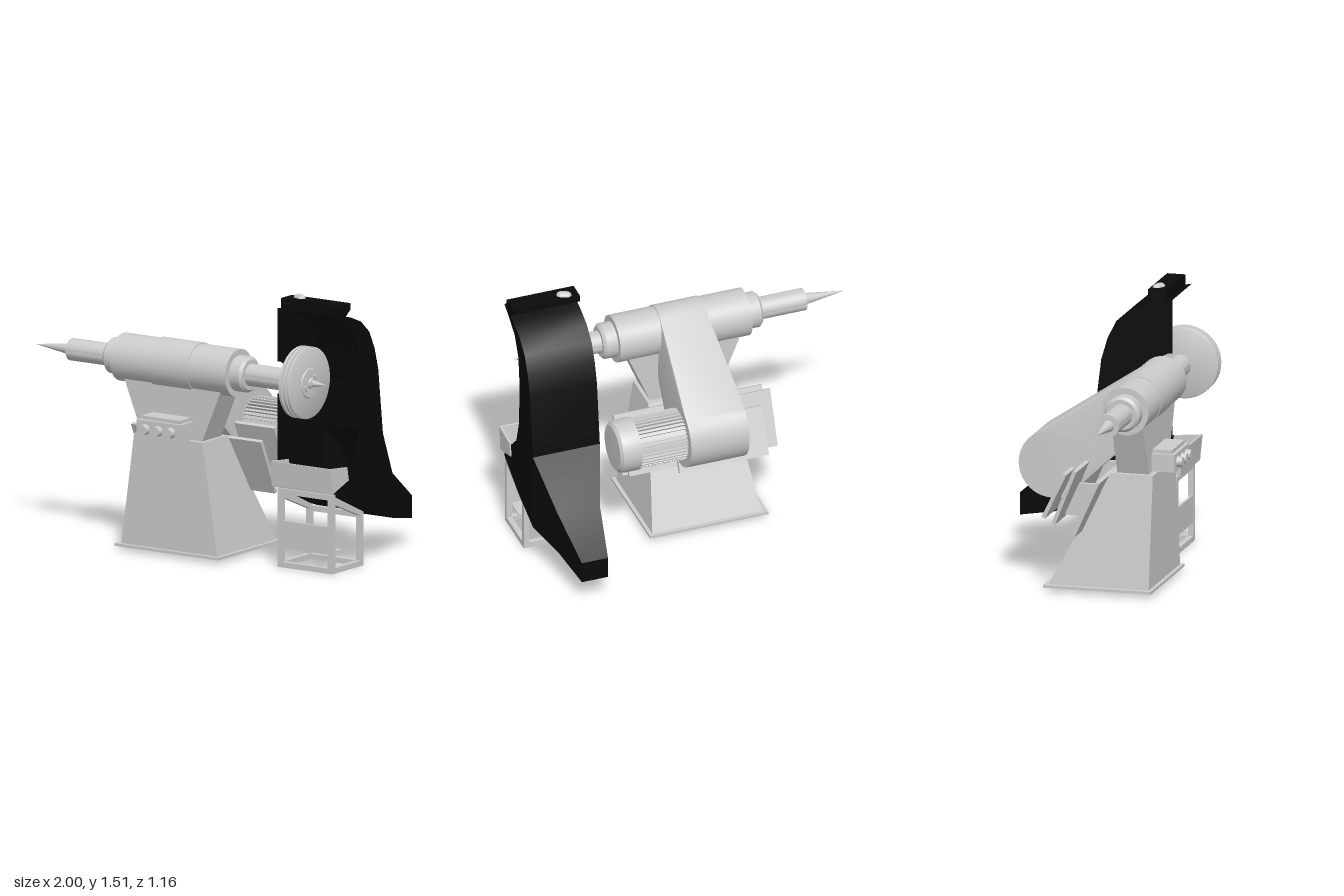
import * as THREE from 'three';
import { toCreasedNormals } from 'three/addons/utils/BufferGeometryUtils.js';
import { ConvexGeometry } from 'three/addons/geometries/ConvexGeometry.js';

const grey = new THREE.MeshStandardMaterial({ color: 0xcccccc });
const greySheet = new THREE.MeshStandardMaterial({ color: 0xcccccc, side: THREE.DoubleSide });
const black = new THREE.MeshStandardMaterial({ color: 0x0a0a0a, side: THREE.DoubleSide });

export function createModel() {
  const root = new THREE.Group();
  const AXIS_Y = 1.05, AXIS_Z = 0.335;

  const add = (name, geo, mat = grey, parent = root) => {
    const mesh = new THREE.Mesh(geo, mat);
    mesh.name = name;
    parent.add(mesh);
    return mesh;
  };
  const group = (name) => {
    const g = new THREE.Group();
    g.name = name;
    root.add(g);
    return g;
  };
  // box given by its limits
  const box = (name, x0, x1, y0, y1, z0, z1, mat = grey, parent = root) => {
    const m = add(name, new THREE.BoxGeometry(x1 - x0, y1 - y0, z1 - z0), mat, parent);
    m.position.set((x0 + x1) / 2, (y0 + y1) / 2, (z0 + z1) / 2);
    return m;
  };
  // turned part along x, profile of [radius, x]
  const turned = (name, profile, y, z, parent = root, seg = 40) => {
    const g = new THREE.LatheGeometry(profile.map(p => new THREE.Vector2(...p)), seg).rotateZ(-Math.PI / 2);
    const m = add(name, toCreasedNormals(g, 0.5), grey, parent);
    m.position.set(0, y, z);
    return m;
  };
  // tapered block between two rectangles [x0, x1, z0, z1]
  const frustum = (name, y0, a, y1, b) => {
    const pts = [];
    for (const [y, r] of [[y0, a], [y1, b]])
      for (const x of [r[0], r[1]]) for (const z of [r[2], r[3]]) pts.push(new THREE.Vector3(x, y, z));
    return add(name, new ConvexGeometry(pts));
  };
  // side outline of [z, y] points
  const sideShape = (pts) => new THREE.Shape(pts.map(([z, y]) => new THREE.Vector2(-z, y)));
  const sideExtrude = (name, pts, x0, x1, mat, parent) => {
    const g = new THREE.ExtrudeGeometry(sideShape(pts), { depth: x1 - x0, bevelEnabled: false });
    return add(name, g.rotateY(Math.PI / 2).translate(x0, 0, 0), mat, parent);
  };

  // Pedestal
  box('basePlate', -0.38, 0.31, 0.02, 0.035, -0.14, 0.47);
  frustum('pedestal', 0.03, [-0.35, 0.29, -0.12, 0.45], 0.66, [-0.265, 0.19, 0.21, 0.45]);
  frustum('neck', 0.66, [-0.235, 0.17, 0.24, 0.42], 0.96, [-0.355, 0.295, 0.24, 0.42]);

  // Spindle housing, shafts and tapered ends
  turned('spindleHousing', [[0, -0.495], [0.085, -0.495], [0.1, -0.48], [0.1, -0.415], [0.133, -0.415],
    [0.133, 0.355], [0.1, 0.355], [0.1, 0.42], [0.085, 0.435], [0, 0.435]], AXIS_Y, AXIS_Z);
  turned('spindleShaft', [[0, -1], [0.033, -0.76], [0.062, -0.76], [0.062, 0.695], [0.035, 0.695],
    [0.022, 0.76], [0.022, 0.84], [0, 0.94]], AXIS_Y, AXIS_Z);

  // Grooved polishing wheel
  const wheel = group('polishingWheel');
  turned('wheelDiscs', [[0, 0.752], [0.19, 0.752], [0.2, 0.757], [0.2, 0.772], [0.185, 0.775], [0.185, 0.781],
    [0.2, 0.784], [0.2, 0.799], [0.185, 0.802], [0.185, 0.808], [0.2, 0.811], [0.2, 0.822], [0.19, 0.827],
    [0, 0.827]], AXIS_Y, AXIS_Z, wheel, 48);
  turned('wheelFlange', [[0.085, 0.826], [0.08, 0.832], [0.03, 0.834], [0.027, 0.85], [0, 0.85]], AXIS_Y, AXIS_Z, wheel);
  for (let i = 0; i < 6; i++) {
    const a = i * Math.PI / 3;
    const lug = add('flangeLug', new THREE.BoxGeometry(0.006, 0.014, 0.03), grey, wheel);
    lug.position.set(0.835, AXIS_Y + 0.05 * Math.cos(a), AXIS_Z + 0.05 * Math.sin(a));
    lug.rotation.x = a;
  }

  // Belt cover wrapping spindle and motor pulley
  const MOTOR_Y = 0.675, MOTOR_Z = -0.14, hull = [];
  for (let i = 0; i < 40; i++) {
    const a = i / 40 * Math.PI * 2, c = Math.cos(a), s = Math.sin(a);
    for (const side of [-1, 1]) {
      hull.push(new THREE.Vector3(-0.03 + side * 0.17, MOTOR_Y + 0.19 * s, MOTOR_Z + 0.19 * c));
      hull.push(new THREE.Vector3(-0.03 + side * 0.132, AXIS_Y + 0.14 * s, AXIS_Z + 0.135 * c));
    }
  }
  add('beltCover', toCreasedNormals(new ConvexGeometry(hull), 0.5));

  // Finned motor
  const motor = group('motor');
  turned('motorBody', [[0, 0.1], [0.128, 0.1], [0.128, 0.42], [0, 0.42]], MOTOR_Y, MOTOR_Z, motor);
  turned('motorEndCap', [[0, 0.41], [0.148, 0.41], [0.148, 0.495], [0.142, 0.515], [0.125, 0.53], [0, 0.533]],
    MOTOR_Y, MOTOR_Z, motor);
  for (let i = 0; i < 40; i++) {
    const a = i / 40 * Math.PI * 2;
    const fin = add('coolingFin', new THREE.BoxGeometry(0.28, 0.022, 0.008), grey, motor);
    fin.position.set(0.275, MOTOR_Y + 0.134 * Math.cos(a), MOTOR_Z + 0.134 * Math.sin(a));
    fin.rotation.x = a;
  }

  // Sloping motor mounting plates
  const mount = group('motorMount');
  const plate = (name, x0, x1, zt, yt, zb, yb, t) =>
    sideExtrude(name, [[zt, yt], [zt - t, yt + t * 0.45], [zb - t, yb + t * 0.45], [zb, yb]], x0, x1, grey, mount);
  plate('rearPlate', -0.46, 0.405, 0.07, 0.7, -0.05, 0.4, 0.02);
  plate('pedestalPlate', -0.46, 0.405, 0.2, 0.645, 0.06, 0.335, 0.02);
  plate('motorFootPlate', -0.38, 0.14, -0.01, 0.66, -0.13, 0.41, 0.02);
  for (const x of [-0.3, 0.24])
    sideExtrude('mountRib', [[0.17, 0.6], [0.04, 0.6], [-0.04, 0.42], [0.09, 0.42]], x, x + 0.03, grey, mount);

  // Control box
  const control = group('controlBox');
  box('controlHousing', -0.18, 0.115, 0.665, 0.765, 0.4, 0.55, grey, control);
  box('controlLid', -0.16, 0.095, 0.765, 0.785, 0.41, 0.53, grey, control);
  for (const x of [-0.12, -0.035, 0.05]) {
    const b = add('button', new THREE.CylinderGeometry(0.027, 0.03, 0.032, 20).rotateX(Math.PI / 2), grey, control);
    b.position.set(x, 0.715, 0.565);
  }

  // Extraction hood: sheet skin following the side profile, narrowing to the rear
  const hood = group('extractionHood');
  const X0 = 0.6, X1 = 0.99;
  const inset = (z) => z > -0.13 ? 0 : z > -0.33 ? (-0.13 - z) * 0.37 : 0.074 + (-0.33 - z) * 0.18;
  const back = [[0.32, 1.44], [0.27, 1.43], [0.18, 1.41], [0.08, 1.37], [0, 1.3], [-0.05, 1.2], [-0.085, 1.08],
    [-0.13, 0.71]];
  const tailTop = [[-0.13, 0.71], [-0.325, 0.445], [-0.58, 0.27]];
  const tailBottom = [[-0.13, 0.25], [-0.325, 0.195], [-0.58, 0.145]];
  const floor = [[0.32, 0.44], [0.1, 0.33], [-0.13, 0.25]];
  const tris = [];
  const quad = (a, b, c, d) => tris.push(...a, ...b, ...c, ...a, ...c, ...d);
  const lo = ([z, y]) => [X0 + inset(z), y, z], hi = ([z, y]) => [X1 - inset(z), y, z];
  for (const line of [back, tailTop, floor, tailBottom])
    for (let i = 0; i + 1 < line.length; i++)
      quad(lo(line[i]), hi(line[i]), hi(line[i + 1]), lo(line[i + 1]));
  for (let i = 0; i < 2; i++)
    for (const f of [lo, hi]) quad(f(tailTop[i]), f(tailTop[i + 1]), f(tailBottom[i + 1]), f(tailBottom[i]));
  quad(lo(tailTop[2]), hi(tailTop[2]), hi(tailBottom[2]), lo(tailBottom[2]));
  const skin = new THREE.BufferGeometry();
  skin.setAttribute('position', new THREE.Float32BufferAttribute(tris, 3));
  skin.computeVertexNormals();
  add('hoodSkin', toCreasedNormals(skin, 0.5), black, hood);

  // Hood sides: a shaft notch on one, a wide opening on the other
  const notch = [];
  for (let i = 0; i <= 10; i++) {
    const a = i / 10 * Math.PI;
    notch.push([0.32 - 0.09 * Math.sin(a), AXIS_Y - 0.09 * Math.cos(a)]);
  }
  const opening = [[0.32, 0.58], [0.21, 0.58], [0.13, 0.66], [0.09, 0.8], [0.08, 1.05], [0.1, 1.23], [0.16, 1.34],
    [0.25, 1.4]];
  const rim = [...back, ...[...floor].reverse()];
  for (const [name, x, cut] of [['hoodInnerSide', X0, notch], ['hoodOuterSide', X1, opening]])
    add(name, new THREE.ShapeGeometry(sideShape([...rim, ...cut])).rotateY(Math.PI / 2).translate(x, 0, 0), black, hood);

  // Hood top cap and lamp
  sideExtrude('hoodCap', [[0.285, 1.43], [0.285, 1.49], [0.18, 1.49], [0.18, 1.455], [0.24, 1.41]], X0, X1, black, hood);
  const lamp = add('lamp', new THREE.CapsuleGeometry(0.025, 0.035, 6, 14).rotateZ(Math.PI / 2), grey, hood);
  lamp.position.set(0.68, 1.485, 0.22);
  lamp.rotation.y = -0.4;

  // Collecting tray at the hood mouth
  const tray = group('hoodTray');
  const traySide = [[0.38, 0.595], [0.22, 0.58], [0.205, 0.505], [0.365, 0.45]];
  for (const x of [0.595, 0.985]) sideExtrude('traySide', traySide, x, x + 0.012, grey, tray);
  sideExtrude('trayFront', [[0.38, 0.595], [0.368, 0.594], [0.353, 0.454], [0.365, 0.45]], 0.595, 0.997, grey, tray);
  sideExtrude('trayFloor', [[0.365, 0.45], [0.367, 0.46], [0.207, 0.515], [0.205, 0.505]], 0.595, 0.997, grey, tray);

  // Open stand below the hood
  const stand = group('hoodStand');
  const S0 = 0.615, S1 = 0.98, T = 0.03;
  for (const x of [S0, S1 - T]) {
    sideExtrude('frontLeg', [[0.34, 0], [0.34, 0.44], [0.31, 0.427], [0.31, 0]], x, x + T, grey, stand);
    sideExtrude('rearLeg', [[0.07, 0], [0.07, 0.315], [0.04, 0.3], [0.04, 0]], x, x + T, grey, stand);
    sideExtrude('topRail', [[0.34, 0.44], [0.04, 0.3], [0.04, 0.27], [0.34, 0.395]], x, x + T, grey, stand);
    box('bottomRail', x, x + T, 0, T, 0.04, 0.34, grey, stand);
  }
  for (const z of [0.04, 0.31]) box('crossRail', S0, S1, 0, T, z, z + T, grey, stand);
  box('rearTopRail', S0, S1, 0.27, 0.3, 0.04, 0.07, grey, stand);
  box('frontTopRail', S0, S1, 0.41, 0.44, 0.31, 0.34, grey, stand);
  box('standFrontPanel', S0 + T, S1 - T, 0.105, 0.26, 0.325, 0.338, greySheet, stand);
  box('standShelf', S0 + T, S1 - T, 0.105, 0.113, 0.2, 0.33, greySheet, stand);

  return root;
}
